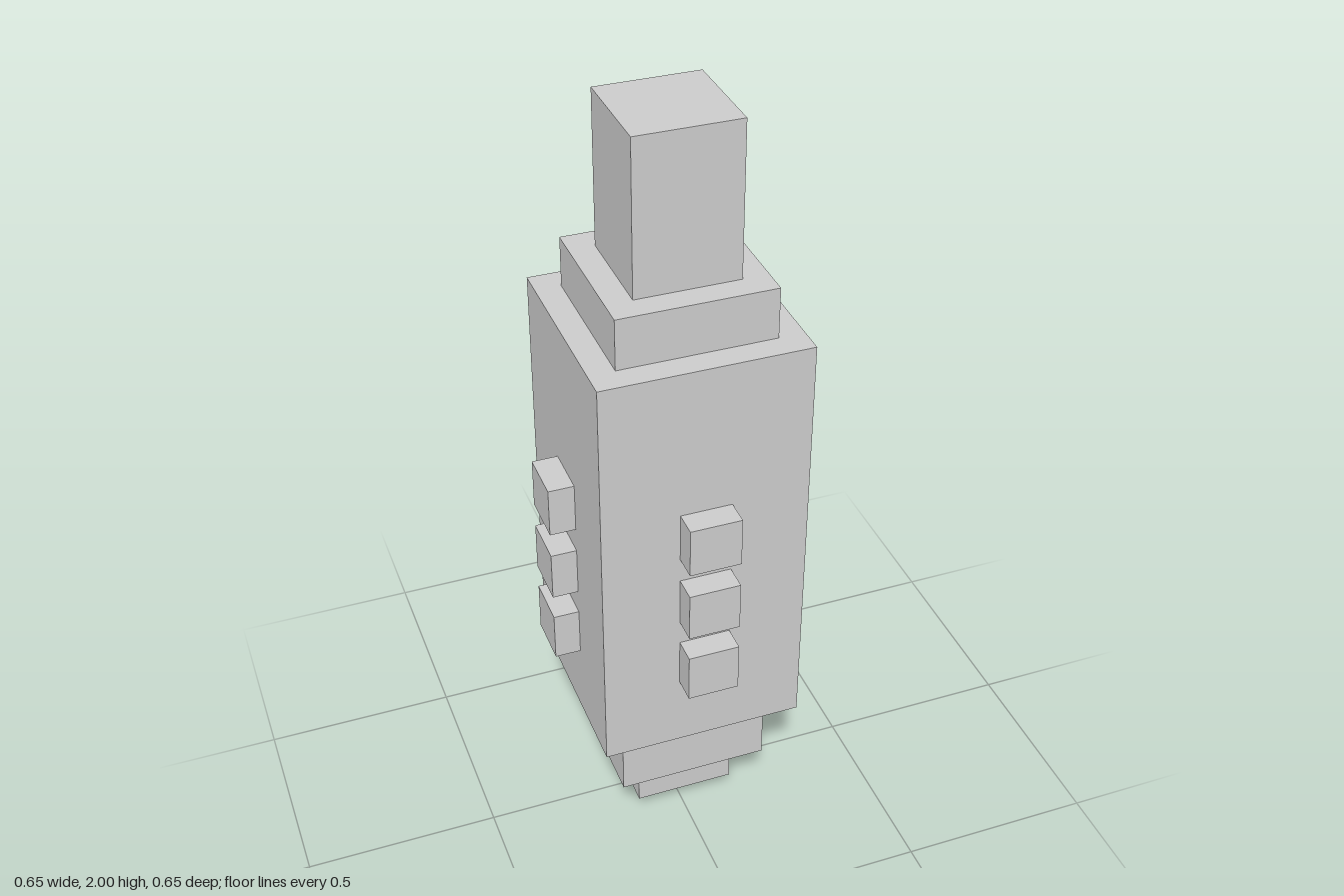
import * as THREE from 'three';

// The model sits on a block grid, 31 blocks tall
const U = 2 / 31;

export function createModel() {
  const model = new THREE.Group();
  const material = new THREE.MeshStandardMaterial({ color: 0xcccccc, flatShading: true });

  function addBlock(parent, name, width, bottom, top, depth = width, z = 0) {
    const geometry = new THREE.BoxGeometry(width * U, (top - bottom) * U, depth * U);
    const mesh = new THREE.Mesh(geometry, material);
    mesh.name = name;
    mesh.position.set(0, ((bottom + top) / 2) * U, z * U);
    parent.add(mesh);
  }

  // Stacked square tiers: name, width, bottom, top
  const tiers = [
    ['tip', 2, 0, 1],
    ['lowerStep', 4, 1, 3],
    ['lowerCollar', 6, 3, 6],
    ['body', 8, 6, 23],
    ['upperCollar', 6, 23, 25],
    ['topPost', 4, 25, 31],
  ];
  for (const tier of tiers) addBlock(model, ...tier);

  // A column of three studs on each of the four body faces
  ['front', 'left', 'back', 'right'].forEach((side, i) => {
    const studs = new THREE.Group();
    studs.name = `${side}Studs`;
    studs.rotation.y = (i * Math.PI) / 2;
    for (const bottom of [9, 12, 15]) addBlock(studs, 'stud', 2, bottom, bottom + 2, 1, 4.5);
    model.add(studs);
  });

  return model;
}
